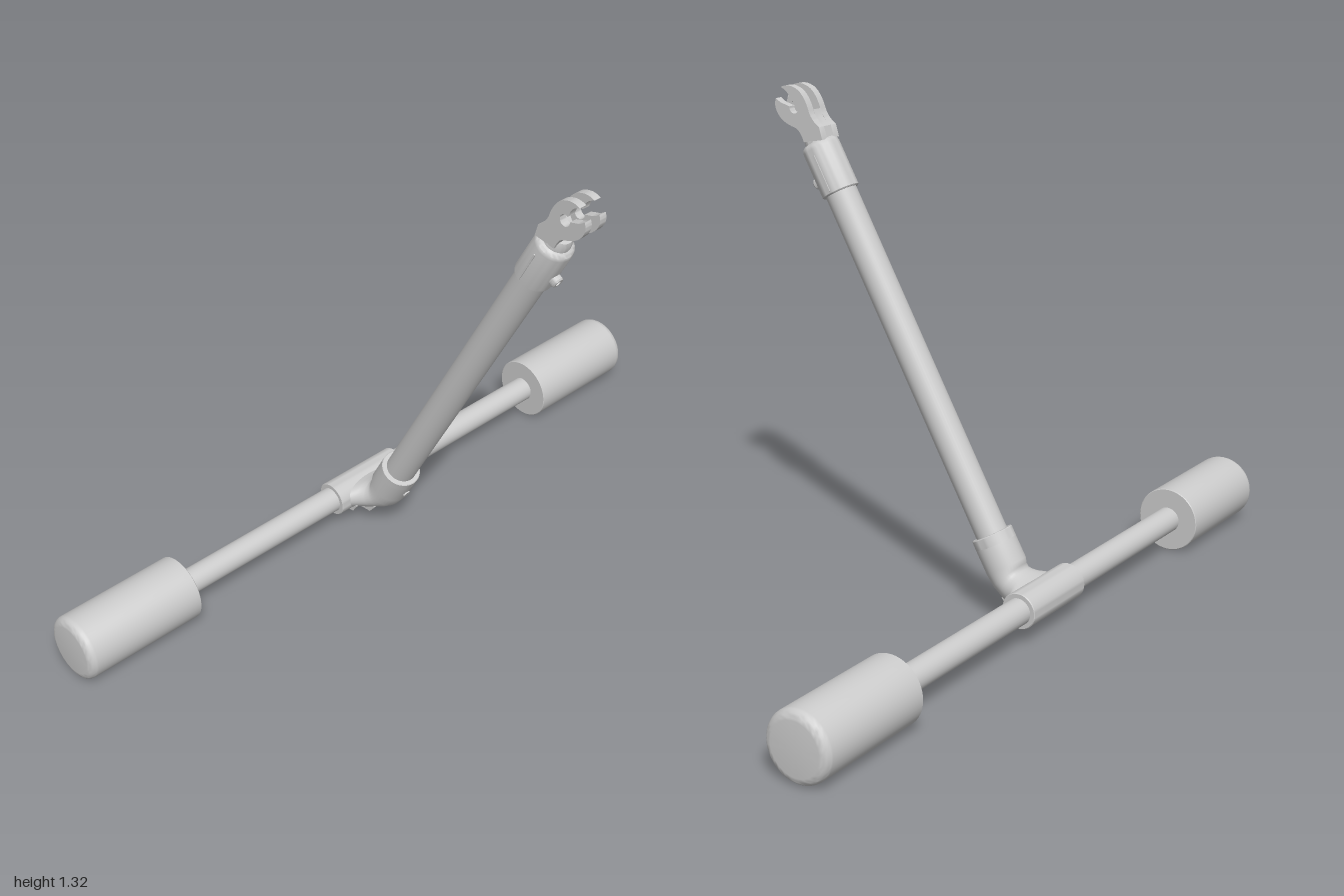
import * as THREE from 'three';
import { toCreasedNormals } from 'three/addons/utils/BufferGeometryUtils.js';

const material = new THREE.MeshStandardMaterial({ color: 0xcccccc });
const AXLE_Y = 0.089, AXLE_Z = -0.366, TILT = THREE.MathUtils.degToRad(29.7);

function add(parent, name, geometry, x = 0, y = 0, z = 0) {
  const mesh = new THREE.Mesh(geometry, material);
  mesh.name = name;
  mesh.position.set(x, y, z);
  parent.add(mesh);
  return mesh;
}

// Turned part from [radius, height] pairs listed bottom to top
function turned(profile, sides = 40) {
  const points = profile.map(([r, h]) => new THREE.Vector2(r, h));
  return toCreasedNormals(new THREE.LatheGeometry(points, sides), 0.6);
}

// Skin through elliptical rings: [z, y, degrees from vertical, rx, ry]
function loft(rings, sides = 40) {
  const position = [], index = [];
  rings.forEach(([z, y, degrees, rx, ry], i) => {
    const phi = THREE.MathUtils.degToRad(degrees);
    for (let j = 0; j < sides; j++) {
      const t = (j / sides) * Math.PI * 2, n = ry * Math.sin(t);
      position.push(rx * Math.cos(t), y - n * Math.sin(phi), z + n * Math.cos(phi));
      if (i === rings.length - 1) continue;
      const a = i * sides + j, b = i * sides + (j + 1) % sides;
      index.push(a, b, a + sides, b, b + sides, a + sides);
    }
  });
  const geometry = new THREE.BufferGeometry();
  geometry.setAttribute('position', new THREE.Float32BufferAttribute(position, 3));
  geometry.setIndex(index);
  geometry.computeVertexNormals();
  return geometry;
}

// Side-view outline in (z, y), given a thickness centred on x = 0
function plate(shape, width) {
  const geometry = new THREE.ExtrudeGeometry(shape, { depth: width, bevelEnabled: false, curveSegments: 12 });
  return toCreasedNormals(geometry.translate(0, 0, -width / 2).rotateY(-Math.PI / 2), 0.6);
}

function buildBase(model) {
  const base = new THREE.Group();
  base.name = 'base';
  base.position.set(0, AXLE_Y, AXLE_Z);
  model.add(base);
  add(base, 'axle', new THREE.CylinderGeometry(0.035, 0.035, 1.32, 32)).rotation.z = Math.PI / 2;
  add(base, 'teeSleeve', turned([
    [0.034, -0.12], [0.046, -0.12], [0.048, -0.118], [0.048, 0.118], [0.046, 0.12], [0.034, 0.12],
  ])).rotation.z = Math.PI / 2;

  // Rollers with a soft outer edge
  const profile = [[0, 0.65], [0.087, 0.65], [0.089, 0.652]];
  for (let i = 0; i <= 6; i++) {
    const t = (i / 6) * Math.PI / 2;
    profile.push([0.067 + 0.022 * Math.cos(t), 0.978 + 0.022 * Math.sin(t)]);
  }
  profile.push([0, 1]);
  const roller = turned(profile, 48);
  add(base, 'leftRoller', roller).rotation.z = -Math.PI / 2;
  add(base, 'rightRoller', roller).rotation.z = Math.PI / 2;
}

function buildElbow(model) {
  // Socket bending from the tilted tube and flaring into the tee
  add(model, 'elbow', loft([
    [-0.219, 0.199, 29.7, 0.055, 0.055],
    [-0.251, 0.144, 31, 0.055, 0.055],
    [-0.264, 0.121, 46, 0.055, 0.05],
    [-0.278, 0.108, 62, 0.058, 0.047],
    [-0.292, 0.1, 74, 0.066, 0.046],
    [-0.31, 0.094, 84, 0.08, 0.045],
    [-0.328, 0.09, 90, 0.106, 0.043],
    [-0.345, 0.089, 90, 0.119, 0.04],
  ]));
  // Stiffening ribs below the flare
  const rib = new THREE.Shape([
    [-0.365, 0.043], [-0.29, 0.049], [-0.268, 0.075], [-0.29, 0.1], [-0.365, 0.1],
  ].map(p => new THREE.Vector2(...p)));
  for (const x of [-0.042, -0.015, 0.015, 0.042]) add(model, 'rib', plate(rib, 0.008), x);
  const outerRib = new THREE.Shape([
    [-0.365, 0.044], [-0.325, 0.048], [-0.31, 0.07], [-0.32, 0.095], [-0.365, 0.1],
  ].map(p => new THREE.Vector2(...p)));
  for (const x of [-0.074, 0.074]) add(model, 'outerRib', plate(outerRib, 0.008), x);
}

function buildArm(model) {
  const arm = new THREE.Group();
  arm.name = 'arm';
  arm.position.set(0, 0.222, -0.206);
  arm.rotation.x = TILT;
  model.add(arm);
  add(arm, 'tube', new THREE.CylinderGeometry(0.042, 0.042, 1.06, 36), 0, 0.48);
  add(arm, 'socketRim', turned([[0.055, -0.028], [0.055, -0.002], [0.053, 0], [0.041, 0]]));
  add(arm, 'socketBolt', new THREE.CylinderGeometry(0.011, 0.011, 0.01, 20), 0, -0.06, 0.053).rotation.x = Math.PI / 2;

  // Clamp sleeve with rounded shoulder
  add(arm, 'clampSleeve', turned([
    [0.041, 0.957], [0.047, 0.957], [0.05, 0.96], [0.05, 1.082], [0.048, 1.091],
    [0.042, 1.097], [0.036, 1.099], [0.034, 1.115], [0.029, 1.125], [0, 1.128],
  ]));
  add(arm, 'clampBolt', turned([
    [0.016, 0.03], [0.016, 0.06], [0.013, 0.064], [0.008, 0.064], [0.007, 0.059], [0, 0.059],
  ], 24), 0, 1.005).rotation.x = Math.PI / 2;
  for (const side of [-1, 1])
    add(arm, 'clampSeam', new THREE.BoxGeometry(0.006, 0.1, 0.005), side * 0.049, 1.015, -0.006);
}

function buildFork(model) {
  const fork = new THREE.Group();
  fork.name = 'fork';
  model.add(fork);
  // Open jaw with a round seat at the end of its slot
  const jaw = new THREE.Shape();
  jaw.moveTo(0.3, 1.19);
  jaw.lineTo(0.31, 1.222);
  jaw.quadraticCurveTo(0.337, 1.238, 0.345, 1.266);
  jaw.quadraticCurveTo(0.362, 1.308, 0.388, 1.316);
  jaw.quadraticCurveTo(0.412, 1.325, 0.434, 1.314);
  jaw.quadraticCurveTo(0.41, 1.306, 0.405, 1.289);
  jaw.lineTo(0.3995, 1.278);
  jaw.absarc(0.391, 1.265, 0.0155, 0.99, Math.PI * 2 + 0.1, false);
  jaw.lineTo(0.422, 1.271);
  jaw.quadraticCurveTo(0.436, 1.273, 0.45, 1.284);
  jaw.quadraticCurveTo(0.46, 1.262, 0.44, 1.239);
  jaw.quadraticCurveTo(0.425, 1.221, 0.385, 1.212);
  jaw.quadraticCurveTo(0.37, 1.204, 0.36, 1.178);
  jaw.closePath();
  const jawGeometry = plate(jaw, 0.021);
  add(fork, 'leftJaw', jawGeometry, 0.0245);
  add(fork, 'rightJaw', jawGeometry, -0.0245);

  // Solid root joining the two jaws
  const root = new THREE.Shape([
    [0.3, 1.19], [0.31, 1.222], [0.334, 1.24], [0.343, 1.262], [0.362, 1.25],
    [0.376, 1.225], [0.37, 1.2], [0.36, 1.178],
  ].map(p => new THREE.Vector2(...p)));
  add(fork, 'forkRoot', plate(root, 0.03));
}

export function createModel() {
  const model = new THREE.Group();
  model.name = 'rollerStand';
  buildBase(model);
  buildElbow(model);
  buildArm(model);
  buildFork(model);
  return model;
}
